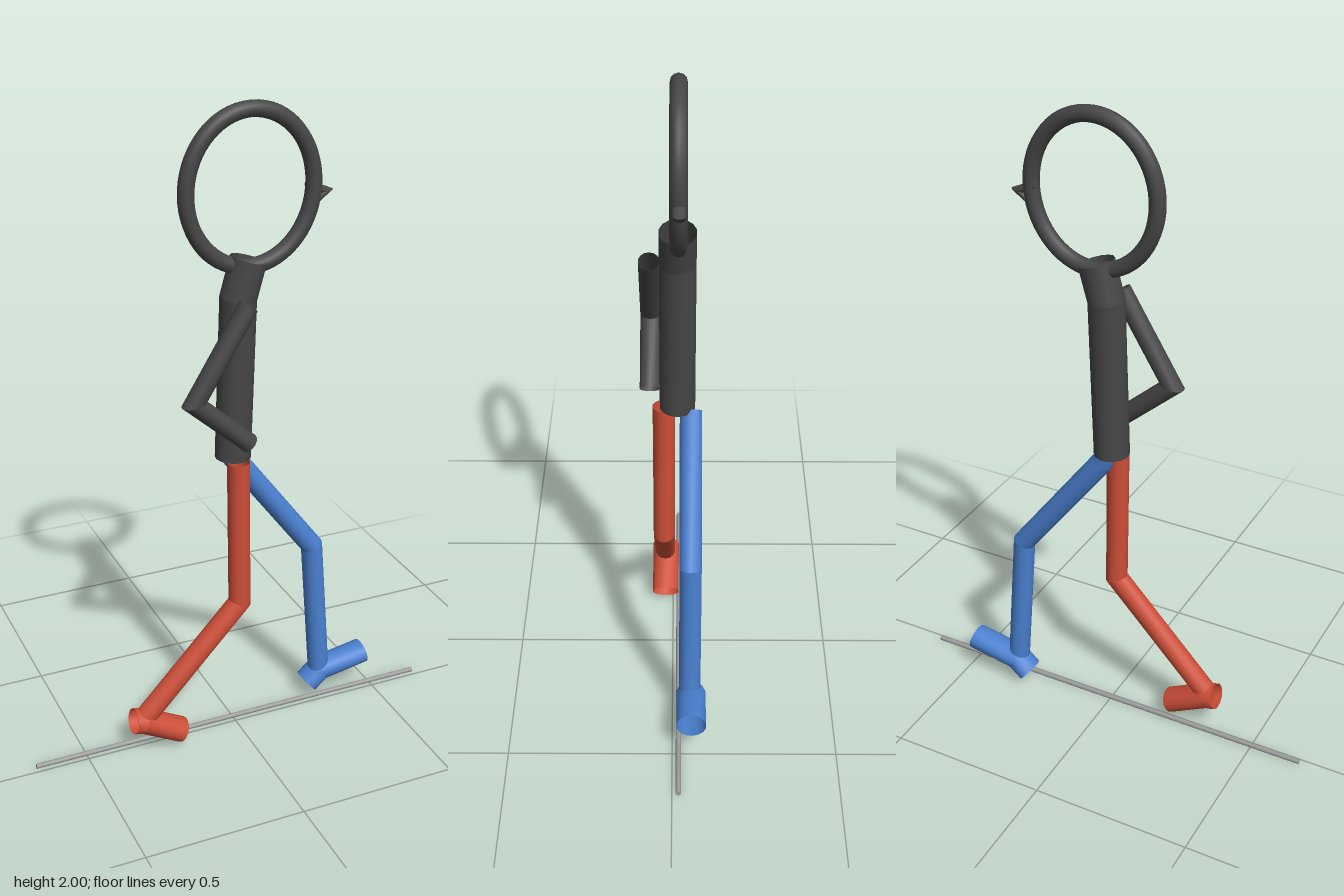
import * as THREE from 'three';

const SIDES = 14;

const material = (name, color) => {
  const m = new THREE.MeshStandardMaterial({ color, side: THREE.DoubleSide });
  m.name = name;
  return m;
};

// Open tube along an [x, y] path at depth z, with mitred bends.
// r is the radius in the path's plane, rz the radius across it.
function mitredTube(path, z, r, rz = r) {
  const pts = path.map(([x, y]) => new THREE.Vector2(x, y));
  const dirs = pts.slice(1).map((p, i) => p.clone().sub(pts[i]).normalize());
  const normalOf = (d) => new THREE.Vector2(-d.y, d.x);

  // Direction of the cut at each point, lengthened at the bends
  const cuts = pts.map((p, i) => {
    const before = normalOf(dirs[Math.max(i - 1, 0)]);
    const after = normalOf(dirs[Math.min(i, dirs.length - 1)]);
    const cut = before.clone().add(after).normalize();
    return cut.divideScalar(cut.dot(before));
  });

  const positions = [];
  const indices = [];
  dirs.forEach((d, s) => {
    const base = s * SIDES * 2;
    for (const k of [s, s + 1]) {
      for (let i = 0; i < SIDES; i++) {
        const a = (i / SIDES) * Math.PI * 2;
        const c = Math.cos(a) * r;
        positions.push(pts[k].x + cuts[k].x * c, pts[k].y + cuts[k].y * c, z + Math.sin(a) * rz);
      }
    }
    for (let i = 0; i < SIDES; i++) {
      const a0 = base + i;
      const a1 = base + ((i + 1) % SIDES);
      indices.push(a0, a1, a1 + SIDES, a0, a1 + SIDES, a0 + SIDES);
    }
  });

  const g = new THREE.BufferGeometry();
  g.setAttribute('position', new THREE.Float32BufferAttribute(positions, 3));
  g.setIndex(indices);
  g.computeVertexNormals();
  return g;
}

export function createModel() {
  const model = new THREE.Group();
  model.name = 'walkingStickFigure';

  const charcoal = material('charcoal', 0x464646);
  const red = material('red', 0xcc4e38);
  const blue = material('blue', 0x4a80d0);
  const grey = material('grey', 0x9c9c9c);

  const add = (name, geometry, mat) => {
    const mesh = new THREE.Mesh(geometry, mat);
    mesh.name = name;
    model.add(mesh);
    return mesh;
  };

  // Oval ring head with a small pointed nose
  const oval = [];
  for (let i = 0; i < 24; i++) {
    const a = (i / 24) * Math.PI * 2;
    oval.push(new THREE.Vector3(0.053 + 0.195 * Math.cos(a), 1.753 + 0.223 * Math.sin(a), -0.016));
  }
  const headCurve = new THREE.CatmullRomCurve3(oval, true);
  add('head', new THREE.TubeGeometry(headCurve, 64, 0.024, 12, true), charcoal);
  add('nose', mitredTube([[0.23, 1.748], [0.285, 1.724], [0.258, 1.704]], -0.018, 0.012, 0.018), charcoal);

  // Torso with a forward-leaning neck, and the bent arm
  add('torso', mitredTube([[-0.003, 0.945], [0.014, 1.44], [0.046, 1.553]], -0.014, 0.054), charcoal);
  add('arm', mitredTube([[0.01, 1.443], [-0.158, 1.172], [0.015, 1.02]], 0.067, 0.029, 0.031), charcoal);

  // Trailing leg and foot
  add('rightLeg', mitredTube([[-0.003, 0.945], [0.001, 0.465], [-0.32, 0.125]], 0.027, 0.034), red);
  add('rightFoot', mitredTube([[-0.357, 0.119], [-0.325, 0.112], [-0.198, 0.044]], 0.025, 0.039, 0.045), red);

  // Leading leg and foot
  add('leftLeg', mitredTube([[0.005, 0.937], [0.288, 0.56], [0.325, 0.07]], -0.054, 0.034), blue);
  add('leftFoot', mitredTube([[0.283, 0.043], [0.328, 0.083], [0.487, 0.111]], -0.058, 0.037, 0.046), blue);

  // Ground rod
  const ground = add('groundLine', new THREE.CylinderGeometry(0.008, 0.008, 1.326, 10), grey);
  ground.rotation.z = Math.PI / 2;
  ground.position.set(0, 0.011, -0.019);

  return model;
}
